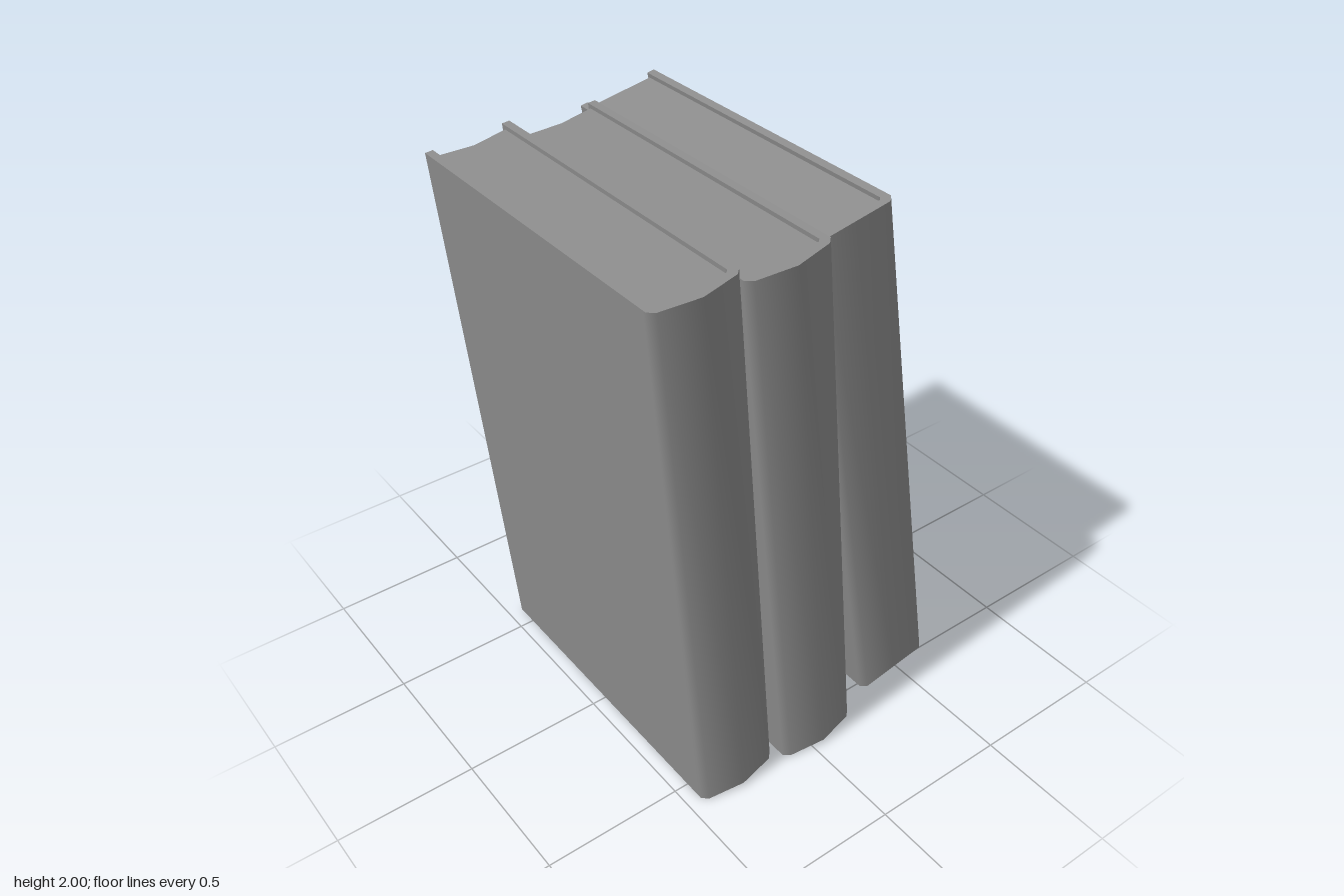
import * as THREE from 'three';
import { toCreasedNormals } from 'three/addons/utils/BufferGeometryUtils.js';

const WIDTH = 0.298, HEIGHT = 1.976;
const BOARD = 0.027;    // cover thickness
const RECESS = 0.015;   // how far the pages sit below the cover's ends

const material = new THREE.MeshStandardMaterial({ color: 0x8d8d8d });

// Spine-side outline from left to right: softened corners and a bulged middle.
// The first and last points keep the shading of the flat boards even.
function spineOutline(inset, front, bulge, chamfer) {
  const l = inset, r = WIDTH - inset, edge = front - bulge;
  return [
    [l, edge - chamfer - 0.01], [l, edge - chamfer], [l + chamfer, edge],
    [WIDTH / 2, front],
    [r - chamfer, edge], [r, edge - chamfer], [r, edge - chamfer - 0.01],
  ];
}

// Extrude an (x, z) outline upwards from y = bottom to y = top
function upright(name, points, bottom, top) {
  const shape = new THREE.Shape(points.map(([x, z]) => new THREE.Vector2(x, z)));
  const geometry = new THREE.ExtrudeGeometry(shape, { depth: top - bottom, bevelEnabled: false });
  geometry.rotateX(Math.PI / 2).translate(0, top, 0);
  const mesh = new THREE.Mesh(toCreasedNormals(geometry, 0.9), material);
  mesh.name = name;
  return mesh;
}

function createBook({ name, x, y, tilt, back, front, bulge, pageInset, hollow }) {
  const book = new THREE.Group();
  book.name = name;
  const outer = spineOutline(0, front, bulge, 0.02);
  const inner = spineOutline(BOARD, front - BOARD, bulge, 0.009);

  // Two boards and the spine in one U-shaped wrap
  book.add(upright('cover', [
    [0, back], ...outer, [WIDTH, back],
    [WIDTH - BOARD, back], ...[...inner].reverse(), [BOARD, back],
  ], 0, HEIGHT));

  // Page block, with a hollowed fore edge on the rounded books
  const pageBack = back + pageInset;
  book.add(upright('pages', [
    [BOARD, pageBack], ...inner, [WIDTH - BOARD, pageBack],
    ...(hollow ? [[WIDTH / 2, pageBack + hollow]] : []),
  ], RECESS, HEIGHT - RECESS));

  book.position.set(x, y, 0);
  book.rotation.z = tilt;
  return book;
}

export function createModel() {
  const model = new THREE.Group();
  model.name = 'leaningBooks';
  const books = [
    { name: 'rightBook', x: -0.448, y: 0.004, tilt: 0.086, back: -0.58, front: 0.62, bulge: 0.024, pageInset: 0.015, hollow: 0.022 },
    { name: 'middleBook', x: -0.109, y: 0.004, tilt: 0.107, back: -0.547, front: 0.64, bulge: 0.024, pageInset: 0.011, hollow: 0.016 },
    { name: 'leftBook', x: 0.325, y: 0.003, tilt: 0.1755, back: -0.64, front: 0.533, bulge: 0, pageInset: 0.008, hollow: 0 },
  ];
  for (const spec of books) model.add(createBook(spec));
  return model;
}
